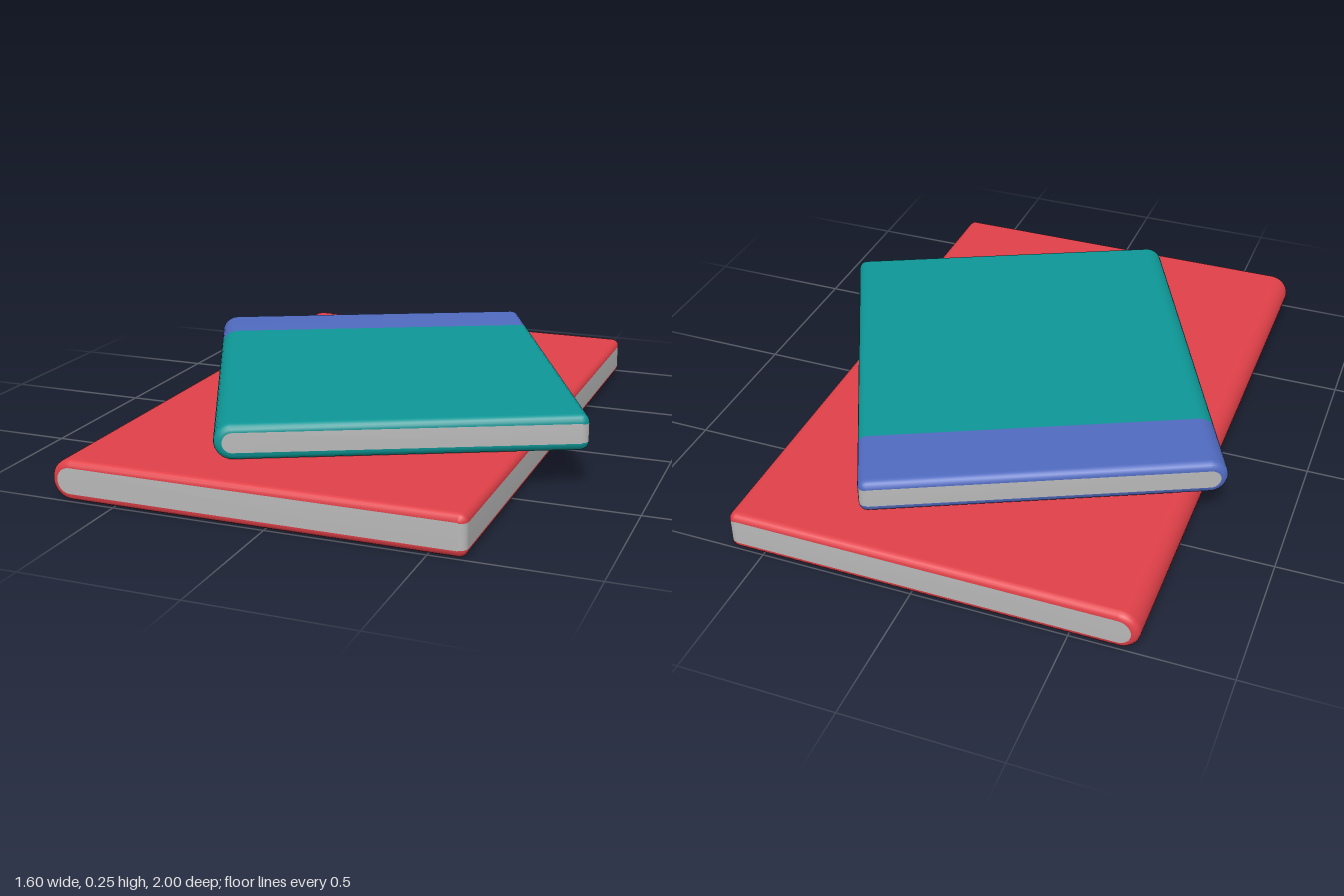
import * as THREE from 'three';

const material = (name, color) => {
  const m = new THREE.MeshStandardMaterial({ color });
  m.name = name;
  return m;
};

// Cross-section of a book: half-round spine at -x, small rounded corners at +x
function profile(w, h, corner, inset) {
  const pts = [];
  const arc = (cx, cy, r, from, to, steps) => {
    for (let i = 0; i <= steps; i++) {
      const a = from + (to - from) * i / steps;
      pts.push([cx + r * Math.cos(a), cy + r * Math.sin(a)]);
    }
  };
  const P = Math.PI, x = w / 2 - corner, y = h / 2 - corner, r = corner - inset;
  arc(x, -y, r, -P / 2, 0, 4);
  arc(x, y, r, 0, P / 2, 4);
  arc(-w / 2 + h / 2, 0, h / 2 - inset, P / 2, P * 1.5, 16);
  return pts;
}

// Sweeps the section along z with rounded ends, sorting the faces into named parts
function makeBook(name, { w, h, l, bevel, band }, mats) {
  const rings = [], steps = 4;
  for (let i = 0; i <= steps; i++) {
    const a = (i / steps) * Math.PI / 2;
    rings.push([-l / 2 + bevel * (1 - Math.cos(Math.PI / 2 - a + Math.PI / 2) - 1), bevel * (1 - Math.sin(a))]);
  }
  // Quarter-round ends: z and inset follow a circle
  rings.forEach((ring, i) => {
    const a = (i / steps) * Math.PI / 2;
    ring[0] = -l / 2 + bevel * (1 - Math.cos(a));
  });
  const far = rings.map(([z, inset]) => [-z, inset]).reverse();
  if (band) rings.push([-l / 2 + band, 0]);
  rings.push(...far);

  const positions = [], faces = { cover: [], band: [], pages: [] };
  let n = 0;
  for (const [z, inset] of rings) {
    const section = profile(w, h, bevel + 0.002, inset);
    n = section.length;
    section.forEach(([x, y]) => positions.push(x, y, z));
  }
  const foreEdge = 4; // flat strip between the two small corners
  for (let k = 0; k < rings.length - 1; k++) {
    const inBand = band && rings[k + 1][0] <= -l / 2 + band + 1e-6;
    for (let j = 0; j < n; j++) {
      const part = j === foreEdge ? 'pages' : inBand ? 'band' : 'cover';
      const a = k * n + j, b = k * n + (j + 1) % n;
      faces[part].push(a, b, b + n, a, b + n, a + n);
    }
  }
  // Page block at both ends
  const last = (rings.length - 1) * n;
  for (let j = 1; j < n - 1; j++) {
    faces.pages.push(0, j + 1, j, last, last + j, last + j + 1);
  }

  // Normals are smoothed over the whole book, then shared by its parts
  const whole = new THREE.BufferGeometry();
  whole.setAttribute('position', new THREE.Float32BufferAttribute(positions, 3));
  whole.setIndex([...faces.cover, ...faces.band, ...faces.pages]);
  whole.computeVertexNormals();

  const book = new THREE.Group();
  book.name = name;
  for (const part of Object.keys(faces)) {
    if (!faces[part].length) continue;
    const g = new THREE.BufferGeometry();
    g.setAttribute('position', whole.getAttribute('position'));
    g.setAttribute('normal', whole.getAttribute('normal'));
    g.setIndex(faces[part]);
    const mesh = new THREE.Mesh(g, mats[part]);
    mesh.name = part;
    book.add(mesh);
  }
  return book;
}

export function createModel() {
  const red = material('red cover', 0xe04048);
  const teal = material('teal cover', 0x0e9696);
  const blue = material('blue band', 0x506abf);
  const paper = material('grey paper', 0xb8b8b8);

  const model = new THREE.Group();
  model.name = 'bookStack';

  const lower = makeBook('lowerBook', { w: 1.326, h: 0.132, l: 2, bevel: 0.024 }, { cover: red, pages: paper });
  lower.position.set(-0.05, 0.066, 0);

  const upper = makeBook('upperBook', { w: 1.15, h: 0.116, l: 1.353, bevel: 0.026, band: 0.24 },
    { cover: teal, band: blue, pages: paper });
  upper.position.set(0, 0.191, 0);
  upper.rotation.y = 0.443;

  model.add(lower, upper);
  return model;
}
